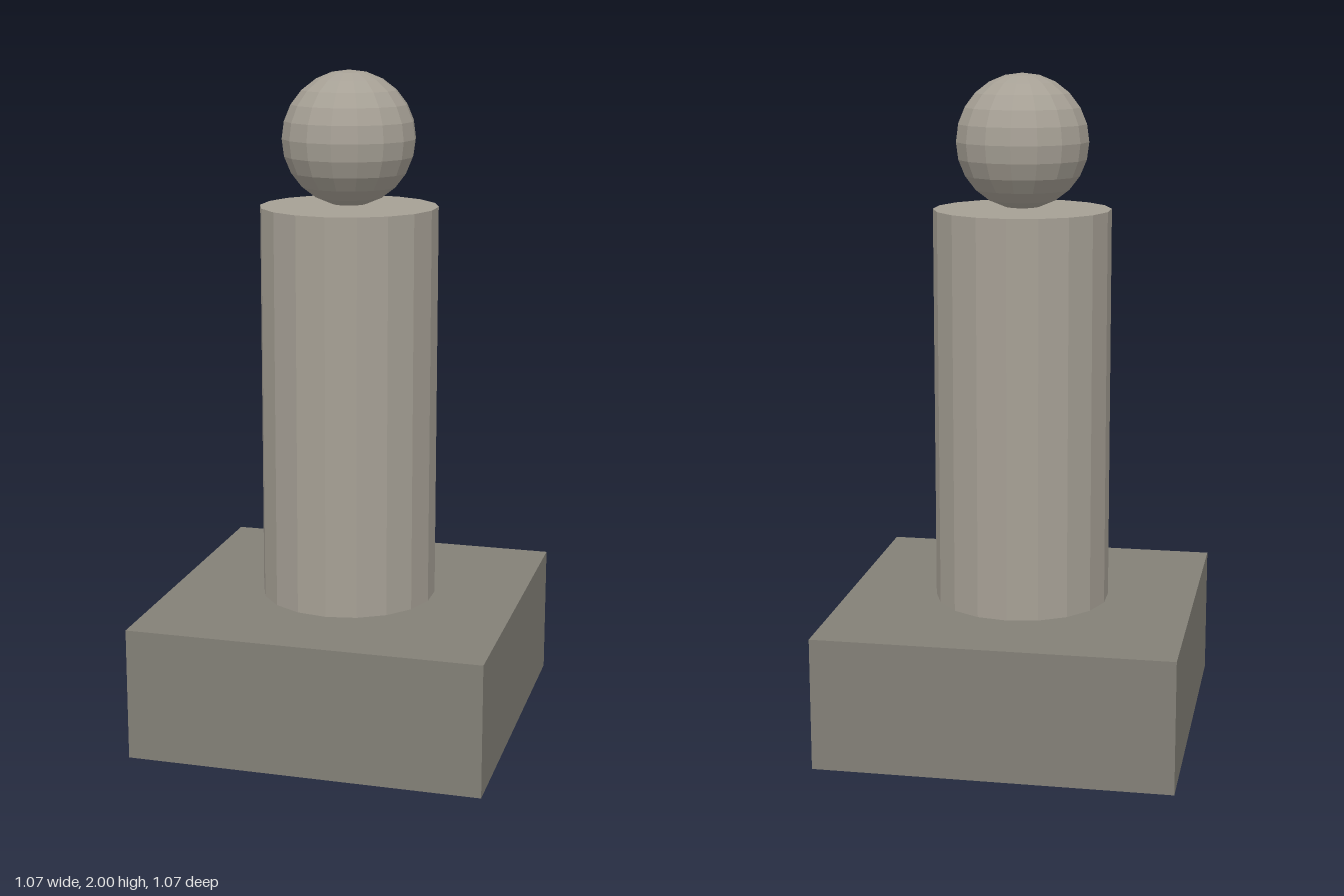
import * as THREE from 'three';

export function createModel() {
  const group = new THREE.Group();
  const darkStone = new THREE.MeshStandardMaterial({ color: 0x838077, flatShading: true });
  const lightStone = new THREE.MeshStandardMaterial({ color: 0xa6a095, flatShading: true });

  const add = (name, geometry, material, y) => {
    const mesh = new THREE.Mesh(geometry, material);
    mesh.name = name;
    mesh.position.y = y;
    group.add(mesh);
  };

  // Square plinth, faceted column and the ball resting on top
  add('base', new THREE.BoxGeometry(1.067, 0.4, 1.067), darkStone, 0.2);
  add('column', new THREE.CylinderGeometry(0.267, 0.267, 1.2, 18), lightStone, 1.0);
  add('ball', new THREE.SphereGeometry(0.2, 16, 12), lightStone, 1.8);

  return group;
}
